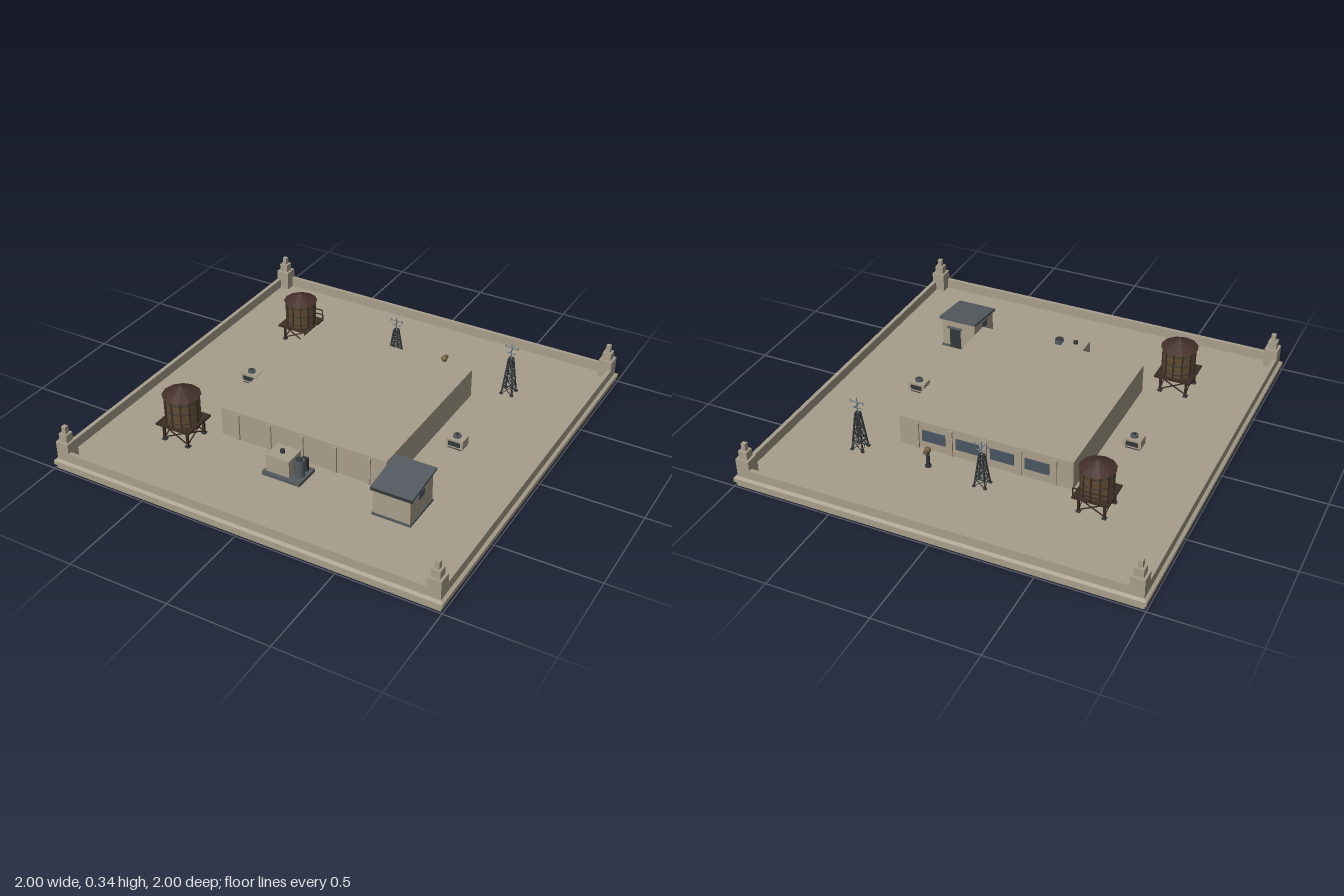
import * as THREE from 'three';

const mat = (name, color) => {
  const m = new THREE.MeshStandardMaterial({ color });
  m.name = name;
  return m;
};
const DECK = 0.05;

export function createModel() {
  const stone = mat('stone', 0xa89e8b);
  const slate = mat('slate', 0x535a5f);
  const iron = mat('darkIron', 0x34383b);
  const glass = mat('windowGlass', 0x4a5562);
  const roofBrown = mat('roofBrown', 0x45302a);
  const wood = mat('tankWood', 0x5f4a31);
  const timber = mat('darkTimber', 0x3a2c24);
  const steel = mat('antennaSteel', 0x76828c);
  const brass = mat('ventBrass', 0x6e5d40);

  const root = new THREE.Group();
  root.name = 'rooftop';

  const group = (name, x = 0, z = 0, y = DECK) => {
    const g = new THREE.Group();
    g.name = name;
    g.position.set(x, y, z);
    root.add(g);
    return g;
  };
  const add = (parent, name, geo, m, x = 0, y = 0, z = 0) => {
    const mesh = new THREE.Mesh(geo, m);
    mesh.name = name;
    mesh.position.set(x, y, z);
    parent.add(mesh);
    return mesh;
  };
  // box standing on height y
  const box = (p, name, w, h, d, m, x = 0, y = 0, z = 0) =>
    add(p, name, new THREE.BoxGeometry(w, h, d), m, x, y + h / 2, z);
  // square bar between two points
  const beam = (p, name, a, b, t, m) => {
    const A = new THREE.Vector3(...a), B = new THREE.Vector3(...b);
    const dir = B.clone().sub(A);
    const mesh = add(p, name, new THREE.BoxGeometry(t, dir.length(), t), m);
    mesh.position.copy(A).add(B).multiplyScalar(0.5);
    mesh.quaternion.setFromUnitVectors(new THREE.Vector3(0, 1, 0), dir.normalize());
    return mesh;
  };
  const faceted = (geo) => {
    const g = geo.toNonIndexed();
    g.computeVertexNormals();
    return g;
  };

  // Slab, cornice and parapet: one square profile turned through four sides
  const profile = [[0, 0], [0.99, 0], [0.99, 0.02], [1, 0.025], [1, 0.045], [0.985, 0.053],
    [0.985, 0.1], [0.965, 0.1], [0.965, DECK], [0, DECK]]
    .map(([r, y]) => new THREE.Vector2(r * Math.SQRT2, y));
  add(root, 'roofSlab', faceted(new THREE.LatheGeometry(profile, 4, Math.PI / 4)), stone);

  // Stepped corner pedestals
  for (const sx of [-1, 1]) for (const sz of [-1, 1]) {
    const p = group('cornerPedestal', sx * 0.951, sz * 0.951);
    box(p, 'lowerTier', 0.068, 0.098, 0.068, stone);
    box(p, 'middleTier', 0.044, 0.04, 0.044, stone, 0, 0.098);
    box(p, 'upperTier', 0.022, 0.037, 0.022, stone, 0, 0.138);
  }

  // Central raised block with pilasters, windows along the back
  const hall = group('centralBlock');
  box(hall, 'blockWalls', 0.88, 0.15, 0.88, stone);
  for (let i = -2; i <= 2; i++) for (const s of [-1, 1])
    box(hall, 'pilaster', 0.022, 0.138, 0.012, stone, i * 0.175, 0, s * 0.442);
  for (let i = -1.5; i <= 1.5; i++)
    box(hall, 'backWindow', 0.12, 0.06, 0.006, glass, i * 0.175, 0.045, -0.441);

  // Water tanks
  const tank = (x, z, k, railSides) => {
    const t = group('waterTank', x, z);
    t.scale.setScalar(k);
    const r = 0.082, h = 0.14, base = 0.098, e = 0.066;
    box(t, 'platform', 0.186, 0.009, 0.186, timber, 0, 0.088);
    for (const sx of [-1, 1]) {
      for (const sz of [-1, 1]) {
        beam(t, 'leg', [sx * e, 0, sz * e], [sx * e, 0.09, sz * e], 0.011, timber);
        box(t, 'foot', 0.022, 0.007, 0.022, iron, sx * e, 0, sz * e);
      }
      for (const s of [-1, 1]) {
        beam(t, 'brace', [-s * e, 0.012, sx * e], [s * e, 0.08, sx * e], 0.005, timber);
        beam(t, 'brace', [sx * e, 0.012, -s * e], [sx * e, 0.08, s * e], 0.005, timber);
      }
    }
    add(t, 'tankBody', faceted(new THREE.CylinderGeometry(r, r, h, 12)), wood, 0, base + h / 2);
    for (let i = 0; i < 12; i++) {
      const a = i * Math.PI / 6;
      const b = box(t, 'batten', 0.007, h, 0.006, timber, Math.sin(a) * r, base, Math.cos(a) * r);
      b.rotation.y = a;
    }
    for (const y of [0.02, 0.07, 0.12])
      add(t, 'hoop', new THREE.CylinderGeometry(r + 0.002, r + 0.002, 0.004, 12), iron, 0, base + y);
    add(t, 'tankRoof', faceted(new THREE.ConeGeometry(0.093, 0.045, 12)), roofBrown, 0, base + h + 0.022);
    add(t, 'finial', new THREE.SphereGeometry(0.005, 8, 6), roofBrown, 0, base + h + 0.045);
    // handrails along chosen platform edges
    for (const turn of railSides) {
      const rail = new THREE.Group();
      rail.name = 'handrail';
      rail.rotation.y = turn;
      t.add(rail);
      for (const px of [-0.088, 0, 0.088]) beam(rail, 'railPost', [px, 0.095, 0.09], [px, 0.15, 0.09], 0.005, timber);
      for (const y of [0.122, 0.15]) beam(rail, 'railBar', [-0.09, y, 0.09], [0.09, y, 0.09], 0.005, timber);
    }
  };
  tank(-0.585, 0.545, 1, []);
  tank(-0.583, -0.512, 0.93, [Math.PI]);

  // Stair shed with sloping roof, door at the back
  const shed = group('stairShed', 0.566, 0.52);
  const side = new THREE.Shape([[-0.106, 0], [0.106, 0], [0.106, 0.163], [-0.106, 0.138]]
    .map(([a, b]) => new THREE.Vector2(a, b)));
  const walls = add(shed, 'shedWalls', new THREE.ExtrudeGeometry(side, { depth: 0.184, bevelEnabled: false }), stone, -0.092);
  walls.rotation.y = Math.PI / 2;
  const lid = add(shed, 'shedRoof', new THREE.BoxGeometry(0.206, 0.012, 0.234), slate, 0, 0.158, -0.005);
  lid.rotation.x = Math.atan2(0.025, 0.212);
  box(shed, 'roofFascia', 0.206, 0.014, 0.006, iron, 0, 0.134, 0.111);
  box(shed, 'shedDoor', 0.06, 0.11, 0.006, iron, 0.02, 0, -0.107);
  box(shed, 'doorCanopy', 0.08, 0.006, 0.016, slate, 0.02, 0.118, -0.112);
  for (const s of [-1, 1])
    box(shed, 'sideWindow', 0.006, 0.035, 0.052, glass, s * 0.092, 0.096, 0.005);
  box(shed, 'shedPlinth', 0.192, 0.012, 0.22, slate);

  // Cooling unit in front of the block
  const cooler = group('coolingUnit', -0.003, 0.553);
  box(cooler, 'basePlate', 0.2, 0.018, 0.136, slate);
  box(cooler, 'cabinet', 0.122, 0.09, 0.104, stone, -0.025, 0.016);
  add(cooler, 'cabinetVent', new THREE.CylinderGeometry(0.011, 0.011, 0.016, 12), iron, -0.028, 0.114);
  add(cooler, 'compressor', new THREE.CylinderGeometry(0.024, 0.024, 0.086, 16), slate, 0.066, 0.061, 0.01);
  add(cooler, 'compressorCap', new THREE.CylinderGeometry(0.018, 0.018, 0.006, 16), iron, 0.066, 0.106, 0.01);
  box(cooler, 'pipeBox', 0.03, 0.07, 0.02, iron, 0.066, 0.016, -0.038);

  // Roof fans either side of the block
  for (const s of [-1, 1]) {
    const f = group('roofFan', s * 0.57, -0.015);
    box(f, 'fanBase', 0.07, 0.012, 0.05, iron);
    box(f, 'fanBox', 0.088, 0.046, 0.062, stone, 0, 0.01);
    add(f, 'fanCowl', new THREE.CylinderGeometry(0.019, 0.019, 0.012, 16), slate, 0, 0.062);
    add(f, 'fanHub', new THREE.CylinderGeometry(0.008, 0.008, 0.006, 12), iron, 0, 0.07);
    for (const q of [-1, 1]) box(f, 'fanGrille', 0.06, 0.024, 0.005, iron, 0, 0.02, q * 0.031);
  }

  // Lattice antenna towers
  const tower = (x, z, k) => {
    const t = group('antennaTower', x, z);
    t.scale.set(1, k, 1);
    const H = 0.2, half = (y) => 0.028 - 0.019 * y / H;
    const turn = (i) => [[1, 1], [-1, 1], [-1, -1], [1, -1]][i % 4];
    const pt = (i, y) => [turn(i)[0] * half(y), y, turn(i)[1] * half(y)];
    for (let i = 0; i < 4; i++) {
      beam(t, 'towerLeg', pt(i, 0), pt(i, H), 0.006, iron);
      box(t, 'towerFoot', 0.014, 0.006, 0.014, iron, turn(i)[0] * 0.028, 0, turn(i)[1] * 0.028);
      for (let n = 0; n < 4; n++) {
        const y0 = n * H / 4, y1 = y0 + H / 4;
        beam(t, 'towerRing', pt(i, y1), pt(i + 1, y1), 0.004, iron);
        beam(t, 'towerBrace', pt(i, y0), pt(i + 1, y1), 0.003, iron);
        beam(t, 'towerBrace', pt(i + 1, y0), pt(i, y1), 0.003, iron);
      }
    }
    beam(t, 'mast', [0, H - 0.01, 0], [0, 0.28, 0], 0.004, steel);
    beam(t, 'crossBar', [-0.034, 0.257, 0], [0.034, 0.257, 0], 0.004, steel);
    beam(t, 'crossBar', [-0.024, 0.225, 0], [0.024, 0.225, 0], 0.004, steel);
    beam(t, 'crossBar', [0, 0.242, -0.026], [0, 0.242, 0.026], 0.004, steel);
    for (const s of [-1, 1]) beam(t, 'aerialTip', [s * 0.032, 0.248, 0], [s * 0.032, 0.266, 0], 0.003, steel);
  };
  tower(-0.052, -0.575, 0.84);
  tower(0.59, -0.56, 1);

  // Small vent pipe with hooded outlet
  const vent = group('ventPipe', 0.234, -0.555);
  add(vent, 'pipeBase', new THREE.CylinderGeometry(0.014, 0.016, 0.01, 12), iron, 0, 0.005);
  add(vent, 'pipe', new THREE.CylinderGeometry(0.009, 0.009, 0.085, 12), iron, 0, 0.045);
  add(vent, 'hood', new THREE.SphereGeometry(0.016, 14, 10), brass, 0, 0.09);
  add(vent, 'outlet', new THREE.CylinderGeometry(0.011, 0.011, 0.022, 12), brass, 0, 0.09, -0.014).rotation.x = Math.PI / 2;

  return root;
}
